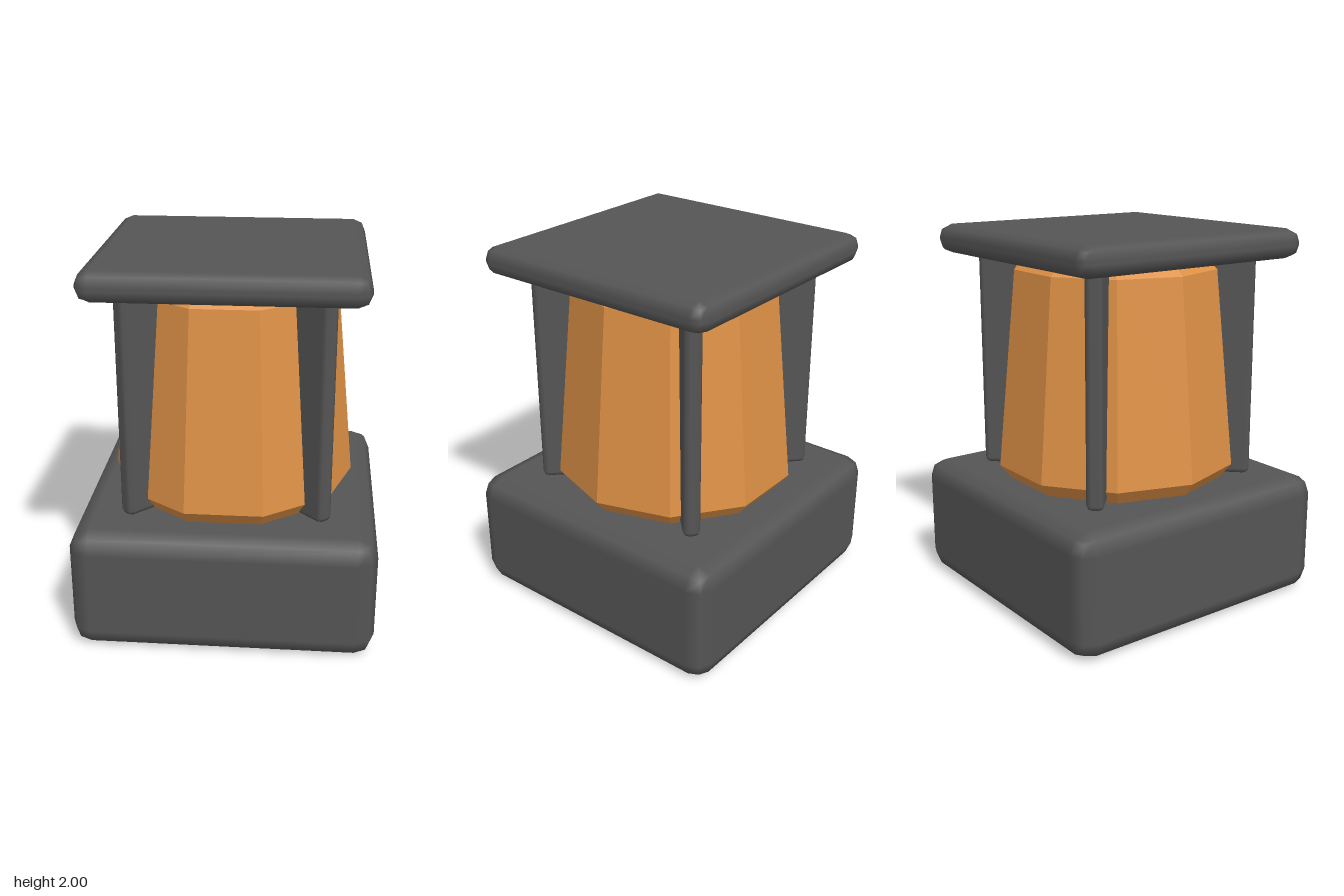
import * as THREE from 'three';
import { RoundedBoxGeometry } from 'three/addons/geometries/RoundedBoxGeometry.js';

export function createModel() {
  const group = new THREE.Group();
  group.name = 'lantern';

  const darkMetal = new THREE.MeshStandardMaterial({ color: 0x555555 });
  darkMetal.name = 'darkMetal';
  const amberGlass = new THREE.MeshStandardMaterial({ color: 0xde9146 });
  amberGlass.name = 'amberGlass';

  // Box with softly bevelled edges, standing on height y
  function roundedBlock(name, width, height, depth, radius, y) {
    const mesh = new THREE.Mesh(new RoundedBoxGeometry(width, height, depth, 1, radius), darkMetal);
    mesh.name = name;
    mesh.position.y = y + height / 2;
    group.add(mesh);
    return mesh;
  }

  // Square base and lid
  roundedBlock('base', 1.585, 0.66, 1.585, 0.105, 0);
  roundedBlock('lid', 1.405, 0.155, 1.405, 0.07, 1.845);

  // Two crossed plates whose ends form the four corner posts
  for (const side of [-1, 1]) {
    const plate = roundedBlock(side < 0 ? 'rightCornerPlate' : 'leftCornerPlate', 1.49, 1.195, 0.09, 0.03, 0.66);
    plate.rotation.y = side * Math.PI / 4;
  }

  // Ten-sided tapered glass with bevelled ends and a flat face to the front
  const profile = [
    [0, 0.64], [0.585, 0.64], [0.66, 0.735], [0.555, 1.793], [0.475, 1.865], [0, 1.865],
  ].map(([r, y]) => new THREE.Vector2(r, y));
  const glassGeometry = new THREE.LatheGeometry(profile, 10, Math.PI / 10).toNonIndexed();
  glassGeometry.computeVertexNormals(); // faceted sides
  const glass = new THREE.Mesh(glassGeometry, amberGlass);
  glass.name = 'glass';
  group.add(glass);

  return group;
}
